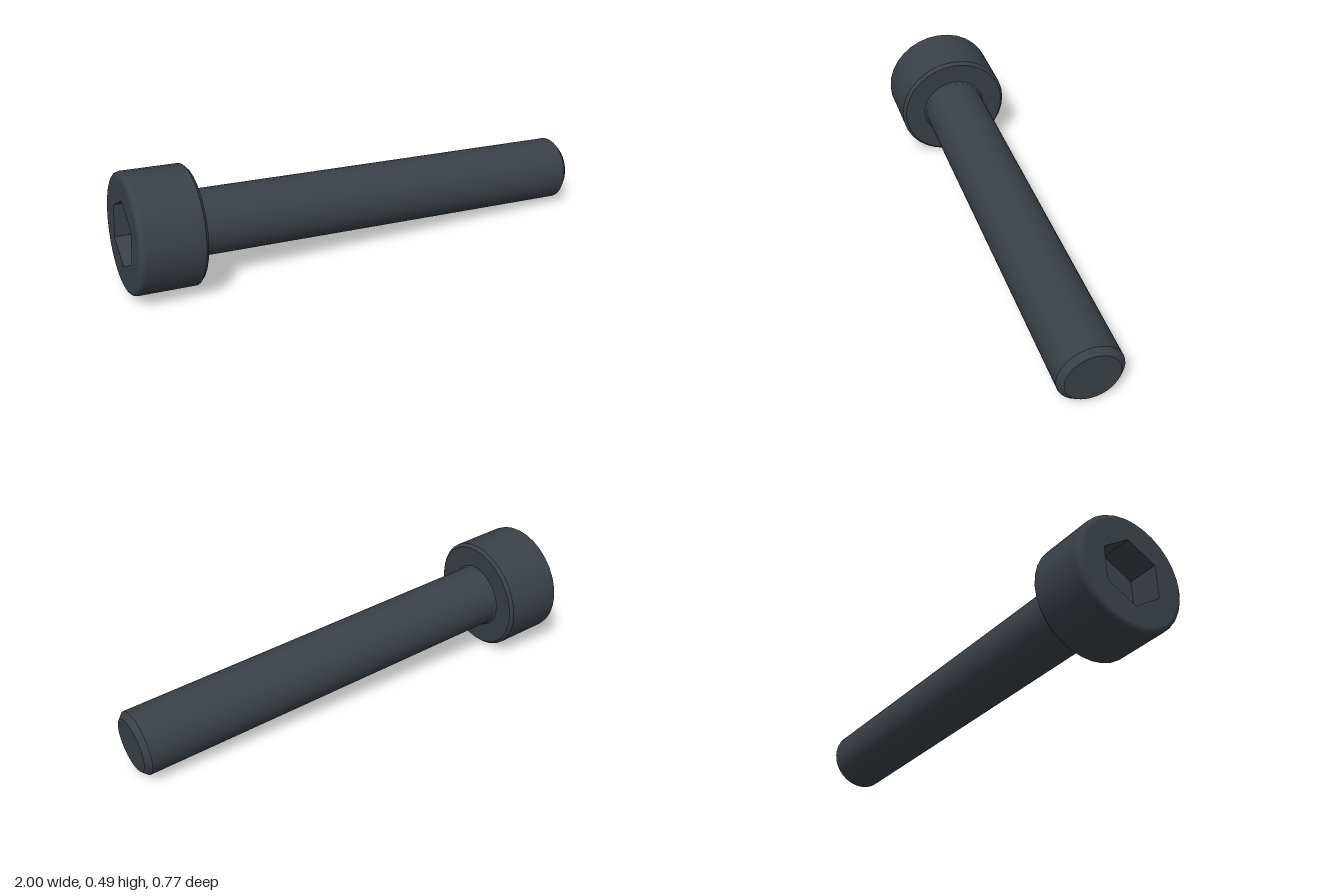
import * as THREE from 'three';

const SIDES = 32;
const SHAFT_R = 0.1325, SHAFT_L = 1.709, TIP_BEVEL = 0.023;
const HEAD_R = 0.24, HEAD_H = 0.265, ROUND = 0.02, BEVEL = 0.0125;
const SOCKET_R = 0.139, SOCKET_DEPTH = 0.13;

export function createModel() {
  const steel = new THREE.MeshStandardMaterial({ color: 0x3a4046 });
  steel.name = 'blackened steel';

  // Built upright with the tip at the origin, then laid along its axis.
  const bolt = new THREE.Group();
  bolt.name = 'bolt';

  const add = (name, geometry, y = 0) => {
    const mesh = new THREE.Mesh(geometry, steel);
    mesh.name = name;
    mesh.position.y = y;
    bolt.add(mesh);
  };
  // Each turned section is its own lathe, so edges between sections stay sharp.
  const turn = (name, points) =>
    add(name, new THREE.LatheGeometry(points.map(([r, y]) => new THREE.Vector2(r, y)), SIDES));

  // Shaft
  const tipR = SHAFT_R - TIP_BEVEL;
  turn('shaftTip', [[0, 0], [tipR, 0]]);
  turn('shaftTipBevel', [[tipR, 0], [SHAFT_R, TIP_BEVEL]]);
  turn('shaft', [[SHAFT_R, TIP_BEVEL], [SHAFT_R, SHAFT_L - 0.008]]);
  turn('shaftFillet', [[SHAFT_R, SHAFT_L - 0.008], [SHAFT_R + 0.003, SHAFT_L - 0.003], [SHAFT_R + 0.008, SHAFT_L]]);

  // Head
  const top = SHAFT_L + HEAD_H;
  turn('headUnderside', [[SHAFT_R + 0.008, SHAFT_L], [HEAD_R - BEVEL, SHAFT_L]]);
  turn('headBevel', [[HEAD_R - BEVEL, SHAFT_L], [HEAD_R, SHAFT_L + BEVEL]]);
  turn('headSide', [[HEAD_R, SHAFT_L + BEVEL], [HEAD_R, top - ROUND]]);
  const rim = [];
  for (let i = 0; i <= 4; i++) {
    const a = (i / 4) * Math.PI / 2;
    rim.push([HEAD_R - ROUND + ROUND * Math.cos(a), top - ROUND + ROUND * Math.sin(a)]);
  }
  turn('headRim', rim);

  // Head face with a six-sided opening
  const face = new THREE.Shape();
  face.absarc(0, 0, HEAD_R - ROUND, 0, Math.PI * 2);
  const corners = [];
  for (let i = 0; i < 6; i++) {
    const a = (i / 6) * Math.PI * 2;
    corners.push(new THREE.Vector2(SOCKET_R * Math.cos(a), SOCKET_R * Math.sin(a)));
  }
  face.holes.push(new THREE.Path(corners));
  add('headFace', new THREE.ShapeGeometry(face, SIDES / 2).rotateX(-Math.PI / 2), top);

  // Socket walls, turned inside out, and floor
  let walls = new THREE.CylinderGeometry(SOCKET_R, SOCKET_R, SOCKET_DEPTH, 6, 1, true);
  walls.rotateY(Math.PI / 2).scale(-1, 1, 1);
  walls = walls.toNonIndexed();
  walls.computeVertexNormals();
  add('socketWalls', walls, top - SOCKET_DEPTH / 2);
  add('socketFloor', new THREE.CircleGeometry(SOCKET_R, 6).rotateX(-Math.PI / 2), top - SOCKET_DEPTH);

  // Lay the bolt down: local y runs from tip to head, local x points nearly up
  const axis = new THREE.Vector3(-0.976, 0.0615, -0.2093).normalize();
  const side = new THREE.Vector3(0, 1, 0).addScaledVector(axis, -axis.y).normalize();
  const third = new THREE.Vector3().crossVectors(side, axis);
  bolt.quaternion.setFromRotationMatrix(new THREE.Matrix4().makeBasis(side, axis, third));
  bolt.position.set(0.976, 0.1335, 0.2595);

  const model = new THREE.Group();
  model.name = 'socketHeadBolt';
  model.add(bolt);
  return model;
}
